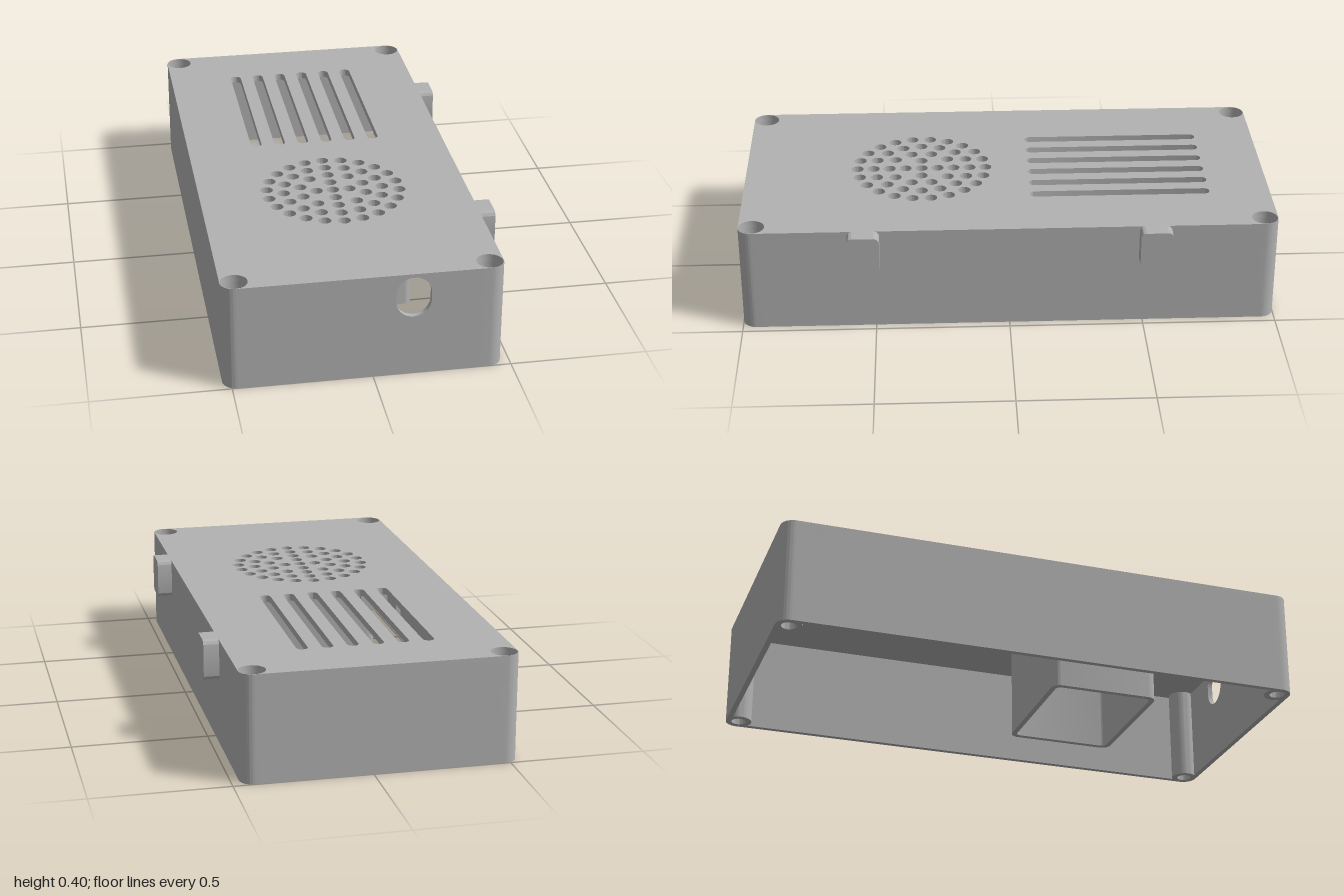
import * as THREE from 'three';
import { toCreasedNormals } from 'three/addons/utils/BufferGeometryUtils.js';

const X0 = -0.53, X1 = 0.47, CX = -0.03; // case sides and centre line
const H = 0.4, LID = 0.374, WALL = 0.02, R = 0.05;

export function createModel() {
  const group = new THREE.Group();
  const plastic = new THREE.MeshStandardMaterial({ color: 0xb2b2b2 });
  plastic.name = 'grey plastic';

  const add = (name, geometry) => {
    const mesh = new THREE.Mesh(geometry, plastic);
    mesh.name = name;
    group.add(mesh);
    return mesh;
  };
  const extrude = (shape, depth) => toCreasedNormals(
    new THREE.ExtrudeGeometry(shape, { depth, bevelEnabled: false, curveSegments: 14 }), 0.6);
  // plan shapes use (x, -z) and rise from y0 to y1
  const rise = (shape, y0, y1) => extrude(shape, y1 - y0).rotateX(-Math.PI / 2).translate(0, y0, 0);
  const box = (name, x0, x1, y0, y1, z0, z1) => add(name,
    new THREE.BoxGeometry(x1 - x0, y1 - y0, z1 - z0)
      .translate((x0 + x1) / 2, (y0 + y1) / 2, (z0 + z1) / 2));

  const circle = (x, y, r) => new THREE.Path().absarc(x, y, r, 0, Math.PI * 2);
  // rounded rectangle; with r equal to half the width it is a slot
  const rounded = (path, cx, cy, w, h, r) => {
    const a = w / 2 - r, b = h / 2 - r, q = Math.PI / 2;
    path.moveTo(cx + a + r, cy - b);
    [[1, 1], [-1, 1], [-1, -1], [1, -1]].forEach(([sx, sy], i) =>
      path.absarc(cx + sx * a, cy + sy * b, r, i * q, (i + 1) * q));
    path.closePath();
    return path;
  };

  // lid, notched at the front to receive the front wall
  const lid = new THREE.Shape();
  const q = Math.PI / 2, a = X1 - R, b = X0 + R, c = 1 - R;
  lid.moveTo(a, -1);
  lid.absarc(a, -c, R, -q, 0);
  lid.absarc(a, c, R, 0, q);
  lid.absarc(b, c, R, q, 2 * q);
  lid.absarc(b, -c, R, 2 * q, 3 * q);
  lid.lineTo(b + R, -1);
  lid.lineTo(b + R, -1 + WALL);
  lid.lineTo(a - R, -1 + WALL);
  lid.lineTo(a - R, -1);
  lid.closePath();
  // screw recesses
  for (const x of [a, b]) for (const z of [c, -c]) lid.holes.push(circle(x, z, 0.048));
  // vent slots
  for (let i = 0; i < 6; i++) {
    lid.holes.push(rounded(new THREE.Path(), CX + (i - 2.5) * 0.0925, 0.43, 0.042, 0.683, 0.0209));
  }
  // round grille: rings of 4, 10, 16 and 22 holes about a centre hole
  const gz = 0.323;
  lid.holes.push(circle(CX, -gz, 0.024));
  for (let ring = 1; ring <= 4; ring++) {
    const n = ring * 6 - 2;
    for (let i = 0; i < n; i++) {
      const t = (i / n) * Math.PI * 2;
      lid.holes.push(circle(CX + Math.sin(t) * ring * 0.062, -gz + Math.cos(t) * ring * 0.062, 0.024));
    }
  }
  add('lid', rise(lid, LID, H));

  // side and back walls
  box('rightWall', X0, X0 + WALL, 0, LID, -0.9, 0.9);
  box('leftWall', X1 - WALL, X1, 0, LID, -0.9, 0.9);
  box('backWall', b + R, a - R, 0, LID, -1, -1 + WALL);

  // front wall with the cable opening
  const front = new THREE.Shape();
  front.moveTo(b + R, 0);
  front.lineTo(a - R, 0);
  front.lineTo(a - R, H);
  front.lineTo(b + R, H);
  front.closePath();
  front.holes.push(rounded(new THREE.Path(), 0.142, 0.309, 0.125, 0.155, 0.0624));
  add('frontWall', extrude(front, WALL).translate(0, 0, 1 - WALL));

  // corner posts: a round post merged with both walls, bored for a screw
  const corner = (bore) => {
    const s = new THREE.Shape();
    s.moveTo(R, -R);
    s.lineTo(R, 0);
    s.absarc(0, 0, R, 0, q);
    s.lineTo(-R, R);
    s.lineTo(-R, R - WALL);
    s.lineTo(-0.04, 0.03);
    s.absarc(0, 0, R, Math.PI - 0.6435, Math.PI * 2 - 0.9273);
    s.lineTo(R - WALL, -R);
    s.closePath();
    s.holes.push(circle(0, 0, bore));
    return s;
  };
  const postLow = rise(corner(0.028), 0, 0.3);
  const postTop = rise(corner(0.048), 0.3, LID);
  [[a, -c], [b, -c], [b, c], [a, c]].forEach(([x, z], i) => {
    for (const [name, g] of [['cornerPost', postLow], ['screwRecess', postTop]]) {
      const post = add(name, g);
      post.position.set(x, 0, z);
      post.rotation.y = i * q;
    }
  });

  // air duct under the grille, with a ledge along its front
  const duct = rounded(new THREE.Shape(), CX, -gz, 0.53, 0.42, 0.035);
  duct.holes.push(rounded(new THREE.Path(), CX, -gz, 0.49, 0.38, 0.02));
  add('airDuct', rise(duct, 0.005, LID));
  box('ductLedge', -0.295, 0.235, 0.34, LID, 0.53, 0.585);

  // small angled bracket beside the duct
  box('bracketFront', -0.36, -0.23, 0.25, LID, 0.095, 0.115);
  box('bracketSide', -0.36, -0.34, 0.25, LID, -0.03, 0.095);

  // two tabs on the left side
  const tab = extrude(rounded(new THREE.Shape(), 0, 0, 0.12, 0.15, 0.02), 0.058).rotateY(q);
  for (const z of [0.54, -0.54]) add('sideTab', tab).position.set(X1 - 0.001, 0.325, z);

  return group;
}
